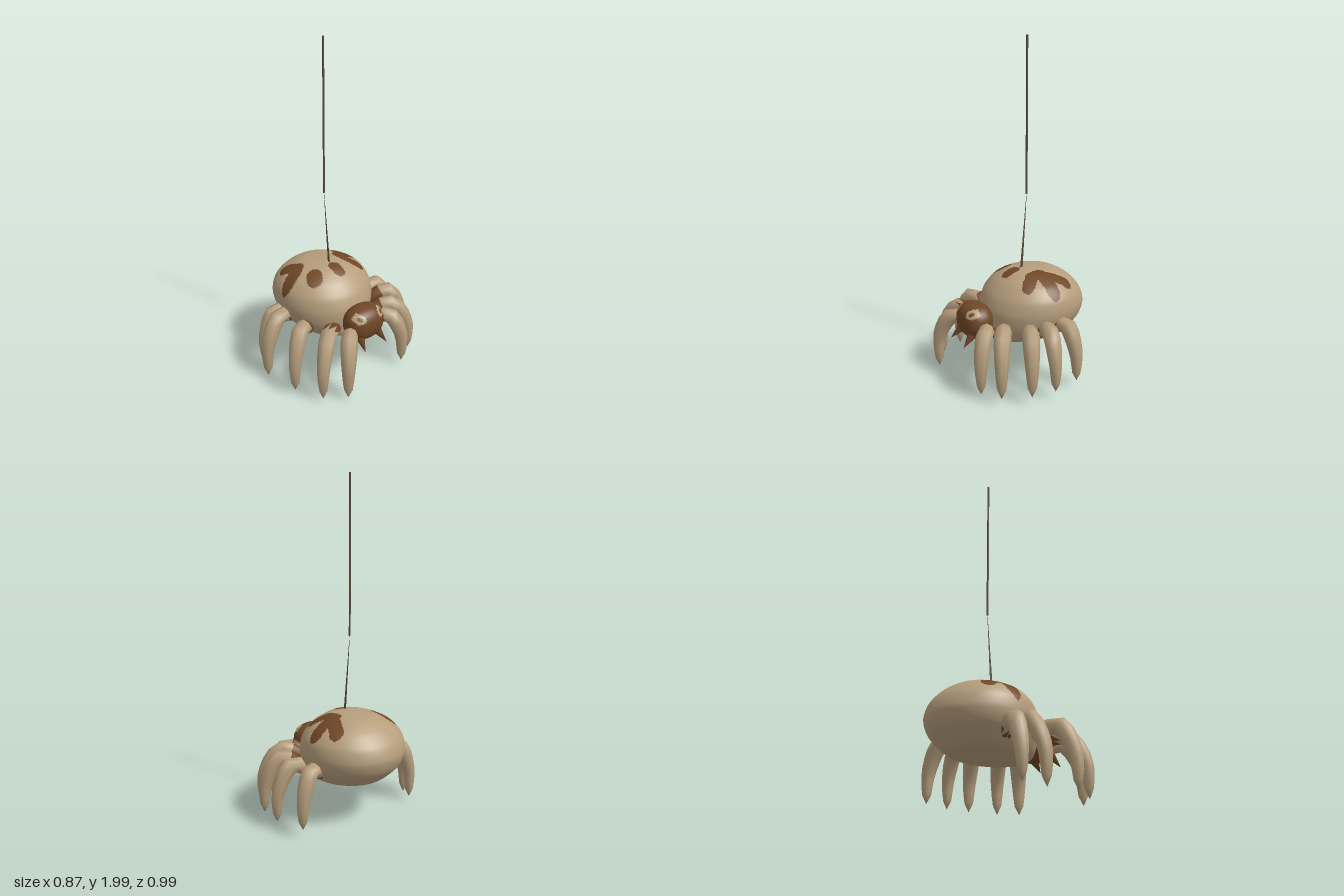
import * as THREE from 'three';
import { mergeVertices } from 'three/addons/utils/BufferGeometryUtils.js';

const mat = (name, color) => {
  const m = new THREE.MeshStandardMaterial({ color });
  m.name = name;
  return m;
};

// Sorts triangles into two material groups: plain, and those whose centre passes the test
function paint(geo, test) {
  const p = geo.attributes.position, ix = geo.index.array, sets = [[], []];
  const c = new THREE.Vector3(), v = new THREE.Vector3();
  for (let i = 0; i < ix.length; i += 3) {
    const tri = [ix[i], ix[i + 1], ix[i + 2]];
    c.set(0, 0, 0);
    tri.forEach(k => c.add(v.fromBufferAttribute(p, k)));
    sets[test(c.divideScalar(3)) ? 1 : 0].push(...tri);
  }
  geo.setIndex([...sets[0], ...sets[1]]);
  geo.clearGroups();
  geo.addGroup(0, sets[0].length, 0);
  geo.addGroup(sets[0].length, sets[1].length, 1);
  return geo;
}

// Moves every vertex by a rule, then joins seams for smooth shading
function reshape(geo, rule) {
  const p = geo.attributes.position, uv = geo.attributes.uv, v = new THREE.Vector3();
  for (let i = 0; i < p.count; i++) {
    v.fromBufferAttribute(p, i);
    rule(v, uv.getX(i), uv.getY(i), i);
    p.setXYZ(i, v.x, v.y, v.z);
  }
  geo.deleteAttribute('uv');
  geo.deleteAttribute('normal');
  const out = mergeVertices(geo, 1e-5);
  out.computeVertexNormals();
  return out;
}

// Body sections from bottom to top: height, back x, front x, half width
const SECTIONS = [
  [0.245, -0.05, -0.05, 0], [0.245, -0.23, 0.16, 0.16], [0.268, -0.31, 0.195, 0.22],
  [0.35, -0.40, 0.205, 0.285], [0.43, -0.43, 0.205, 0.305], [0.51, -0.405, 0.175, 0.292],
  [0.58, -0.34, 0.115, 0.235], [0.632, -0.24, 0.03, 0.125], [0.65, -0.07, -0.07, 0],
];

// Back markings, as strokes seen from above: x, z points and a radius
const STROKES = [
  [[[-0.11, -0.25], [-0.1, -0.14]], 0.042],
  [[[-0.22, -0.2], [-0.1, -0.14]], 0.04],
  [[[-0.1, -0.12], [-0.04, -0.13], [0.015, -0.18]], 0.038],
  [[[-0.22, 0.195], [-0.15, 0.165], [-0.12, 0.21], [-0.11, 0.26]], 0.041],
  [[[0.01, 0], [0.05, 0]], 0.037],
  [[[-0.005, 0.145], [0.01, 0.155]], 0.048],
];

function onMarking(c) {
  if (c.y < 0.44) return false;
  return STROKES.some(([pts, r]) => pts.slice(1).some((b, i) => {
    const a = pts[i], dx = b[0] - a[0], dz = b[1] - a[1];
    const t = THREE.MathUtils.clamp(
      ((c.x - a[0]) * dx + (c.z - a[1]) * dz) / (dx * dx + dz * dz), 0, 1);
    return Math.hypot(c.x - a[0] - t * dx, c.z - a[1] - t * dz) < r;
  }));
}

function bodyGeometry() {
  const spline = f => new THREE.CatmullRomCurve3(
    SECTIONS.map(f), false, 'catmullrom', 0.4);
  const spans = spline(s => new THREE.Vector3(s[1], s[2], s[3]));
  const heights = spline(s => new THREE.Vector3(0, s[0], 0));
  const geo = reshape(new THREE.SphereGeometry(1, 128, 96), (v, u, w) => {
    const s = spans.getPoint(w), a = u * Math.PI * 2;
    v.set((s.x + s.y) / 2 - Math.cos(a) * (s.y - s.x) / 2,
      heights.getPoint(w).y, Math.sin(a) * s.z);
  });
  return paint(geo, onMarking);
}

// Rounded, slightly boxy head with a pale patch around each eye
function headGeometry() {
  const soft = n => Math.sign(n) * Math.abs(n) ** 0.85;
  const geo = reshape(new THREE.SphereGeometry(1, 64, 48), v =>
    v.set(0.275 + soft(v.x) * 0.095, 0.378 + soft(v.y) * 0.103, soft(v.z) * 0.13));
  return paint(geo, c => {
    const d = Math.hypot((c.y - 0.442) / 0.026, (Math.abs(c.z) - 0.08) / 0.034);
    return c.x > 0.29 && d < 1 && d > 0.4;
  });
}

// Leg that arches from the body over a knee and down to a tapered foot
const RADII = [0.035, 0.042, 0.047, 0.05, 0.049, 0.046, 0.042, 0.037, 0.032, 0.025, 0];
function legGeometry([rx, rz, ox, oz, footY, knee, brownTo]) {
  const at = (t, y) => new THREE.Vector3(rx + (ox - rx) * t, y, rz + (oz - rz) * t);
  const curve = new THREE.CatmullRomCurve3(
    [at(0, 0.32), at(0.55, knee), at(0.93, 0.23), at(0.98, footY)]);
  const n = RADII.length - 1, sides = 8;
  const geo = reshape(new THREE.TubeGeometry(curve, n, 1, sides), (v, u, w, i) => {
    const ring = Math.floor(i / (sides + 1)), c = curve.getPointAt(ring / n);
    v.sub(c).multiplyScalar(RADII[ring]).add(c);
  });
  const dx = ox - rx, dz = oz - rz;
  return paint(geo, c =>
    ((c.x - rx) * dx + (c.z - rz) * dz) / (dx * dx + dz * dz) < brownTo);
}

// Root x, z; outer x, z; foot height; knee height; how far the brown root reaches
const LEGS = {
  left: [
    [-0.14, 0.22, -0.18, 0.41, 0.03, 0.375, 0.2], [-0.12, 0.22, -0.07, 0.465, 0.01, 0.375, 0.3],
    [0.05, 0.24, 0.17, 0.44, 0.03, 0.38, 0.25], [0.16, 0.12, 0.33, 0.36, 0.02, 0.37, 0.45],
    [0.25, 0.08, 0.41, 0.235, 0.015, 0.355, 0.3],
  ],
  right: [
    [-0.12, -0.22, -0.18, -0.41, 0.05, 0.375, 0.3], [-0.04, -0.24, 0, -0.465, 0.05, 0.375, 0.25],
    [0.05, -0.24, 0.15, -0.455, 0.05, 0.38, 0.3], [0.15, -0.14, 0.3, -0.375, 0.04, 0.375, 0.35],
    [0.22, -0.1, 0.365, -0.25, 0.03, 0.36, 0.4],
  ],
};

// Straight tapered rod between two points
function rod(a, b, ra, rb, sides, material, name) {
  const from = new THREE.Vector3(...a), to = new THREE.Vector3(...b);
  const dir = to.clone().sub(from);
  const mesh = new THREE.Mesh(new THREE.CylinderGeometry(rb, ra, dir.length(), sides), material);
  mesh.position.copy(from).add(to).multiplyScalar(0.5);
  mesh.quaternion.setFromUnitVectors(new THREE.Vector3(0, 1, 0), dir.normalize());
  mesh.name = name;
  return mesh;
}

export function createModel() {
  const tan = mat('tan', 0xb59d7c), brown = mat('brown', 0x6f4726), silk = mat('silk', 0x5c4a3b);
  const model = new THREE.Group();
  model.name = 'hangingSpider';
  const add = (geo, materials, name, parent = model) => {
    const mesh = new THREE.Mesh(geo, materials);
    mesh.name = name;
    parent.add(mesh);
  };

  add(bodyGeometry(), [tan, brown], 'body');
  add(headGeometry(), [brown, tan], 'head');

  // Legs, five on each side
  for (const [side, list] of Object.entries(LEGS)) {
    const group = new THREE.Group();
    group.name = side + 'Legs';
    list.forEach((leg, i) => add(legGeometry(leg), [tan, brown], `${side}Leg${i + 1}`, group));
    model.add(group);
  }

  // Fangs
  for (const s of [1, -1]) {
    model.add(rod([0.32, 0.32, s * 0.065], [0.39, 0.25, s * 0.085], 0.032, 0, 5, brown,
      s > 0 ? 'leftFang' : 'rightFang'));
  }

  // Thread, fine where it meets the thicker upper strand
  model.add(rod([-0.08, 1.09, 0.005], [-0.08, 2, 0.005], 0.006, 0.006, 6, silk, 'upperThread'));
  const lower = rod([-0.043, 0.64, 0], [-0.08, 1.09, 0.005], 0.009, 0.001, 6, silk, 'lowerThread');
  lower.scale.z = 0.4;
  model.add(lower);
  return model;
}
